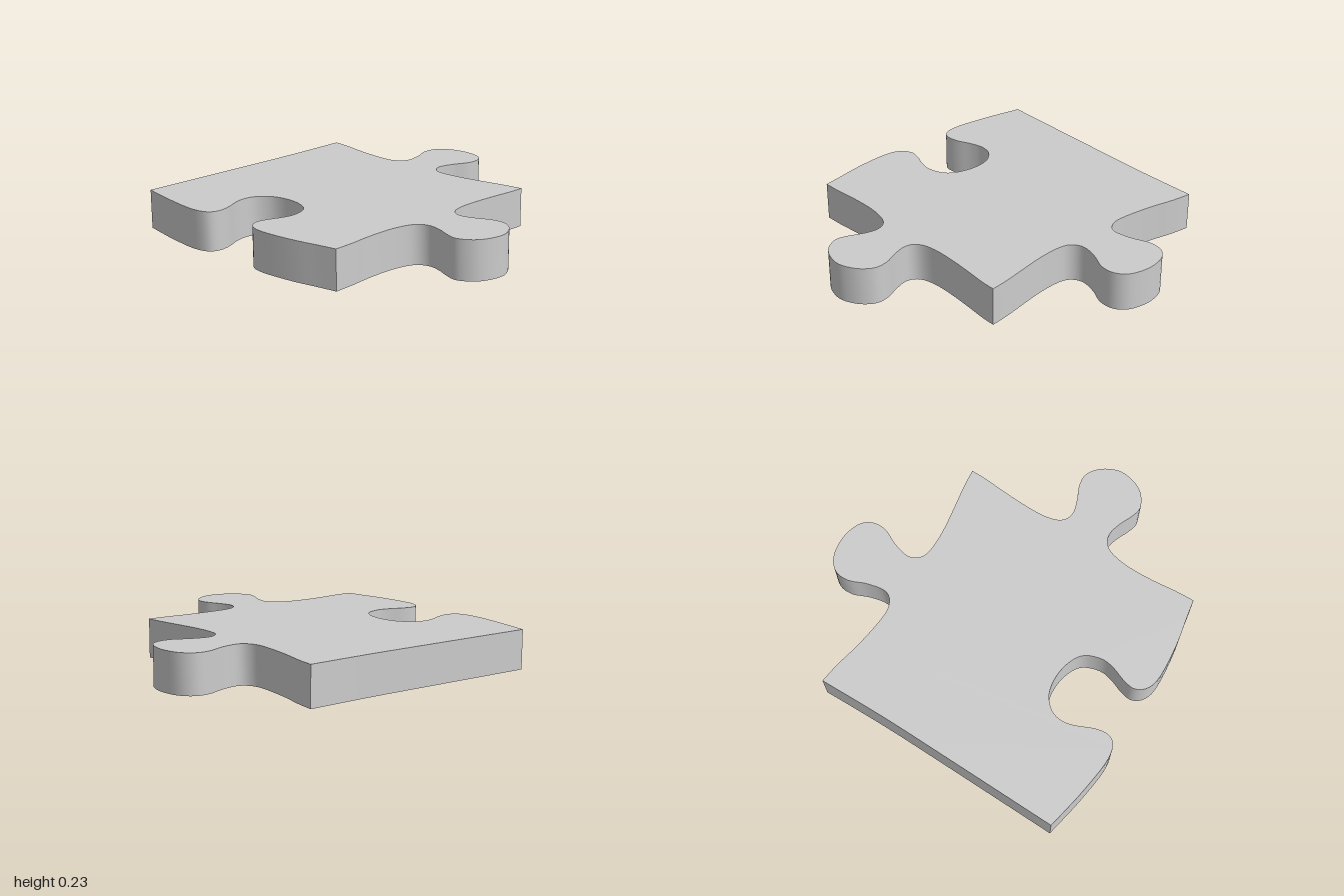
import * as THREE from 'three';
import { toCreasedNormals } from 'three/addons/utils/BufferGeometryUtils.js';

const THICKNESS = 0.23;

// Each edge is a smooth curve through [x, z] points, running corner to corner.
const backEdge = [
  [-1, -0.59], [-0.88, -0.575], [-0.7, -0.54], [-0.5, -0.52], [-0.41, -0.54], [-0.37, -0.6],
  [-0.39, -0.71], [-0.43, -0.81], [-0.425, -0.9], [-0.36, -0.965], [-0.24, -0.99], [-0.12, -0.965],
  [-0.06, -0.9], [-0.055, -0.81], [-0.1, -0.71], [-0.122, -0.61], [-0.09, -0.545], [-0.02, -0.52],
  [0.12, -0.525], [0.3, -0.555], [0.42, -0.577], [0.53, -0.59],
];
const tabEdge = [
  [0.53, -0.59], [0.53, -0.5], [0.515, -0.3], [0.512, -0.12], [0.53, -0.015], [0.57, 0.038],
  [0.63, 0.05], [0.71, 0.025], [0.79, -0.01], [0.87, -0.015], [0.94, 0.03], [0.985, 0.1],
  [1, 0.17], [0.98, 0.26], [0.935, 0.325], [0.86, 0.365], [0.79, 0.352], [0.7, 0.315],
  [0.62, 0.3], [0.56, 0.325], [0.525, 0.385], [0.507, 0.5], [0.51, 0.65], [0.525, 0.8], [0.53, 0.915],
];
const socketEdge = [
  [0.53, 0.915], [0.42, 0.935], [0.25, 0.968], [0.05, 0.985], [-0.05, 0.965], [-0.1, 0.905],
  [-0.093, 0.83], [-0.06, 0.74], [-0.05, 0.66], [-0.085, 0.565], [-0.16, 0.515], [-0.27, 0.495],
  [-0.38, 0.515], [-0.455, 0.58], [-0.475, 0.66], [-0.455, 0.74], [-0.415, 0.83], [-0.403, 0.91],
  [-0.44, 0.967], [-0.55, 0.985], [-0.75, 0.962], [-0.9, 0.935], [-1, 0.915],
];
const plainEdge = [[-1, 0.915], [-0.992, 0.2], [-0.99, -0.2], [-1, -0.59]];

export function createModel() {
  const group = new THREE.Group();
  group.name = 'jigsawPiece';

  // Outline: back tab, side tab, front socket and plain side
  const outline = [backEdge, tabEdge, socketEdge, plainEdge].flatMap((edge) => {
    const curve = new THREE.SplineCurve(edge.map(([x, z]) => new THREE.Vector2(x, z)));
    return curve.getPoints((edge.length - 1) * 4).slice(0, -1);
  });

  // Flat slab with sharp rims and smooth curved walls
  const slab = new THREE.ExtrudeGeometry(new THREE.Shape(outline), {
    depth: THICKNESS, bevelEnabled: false, steps: 1,
  });
  slab.rotateX(Math.PI / 2).translate(0, THICKNESS, 0);

  const piece = new THREE.Mesh(
    toCreasedNormals(slab, Math.PI / 5),
    new THREE.MeshStandardMaterial({ color: 0xcccccc }),
  );
  piece.name = 'puzzlePiece';
  group.add(piece);
  return group;
}
